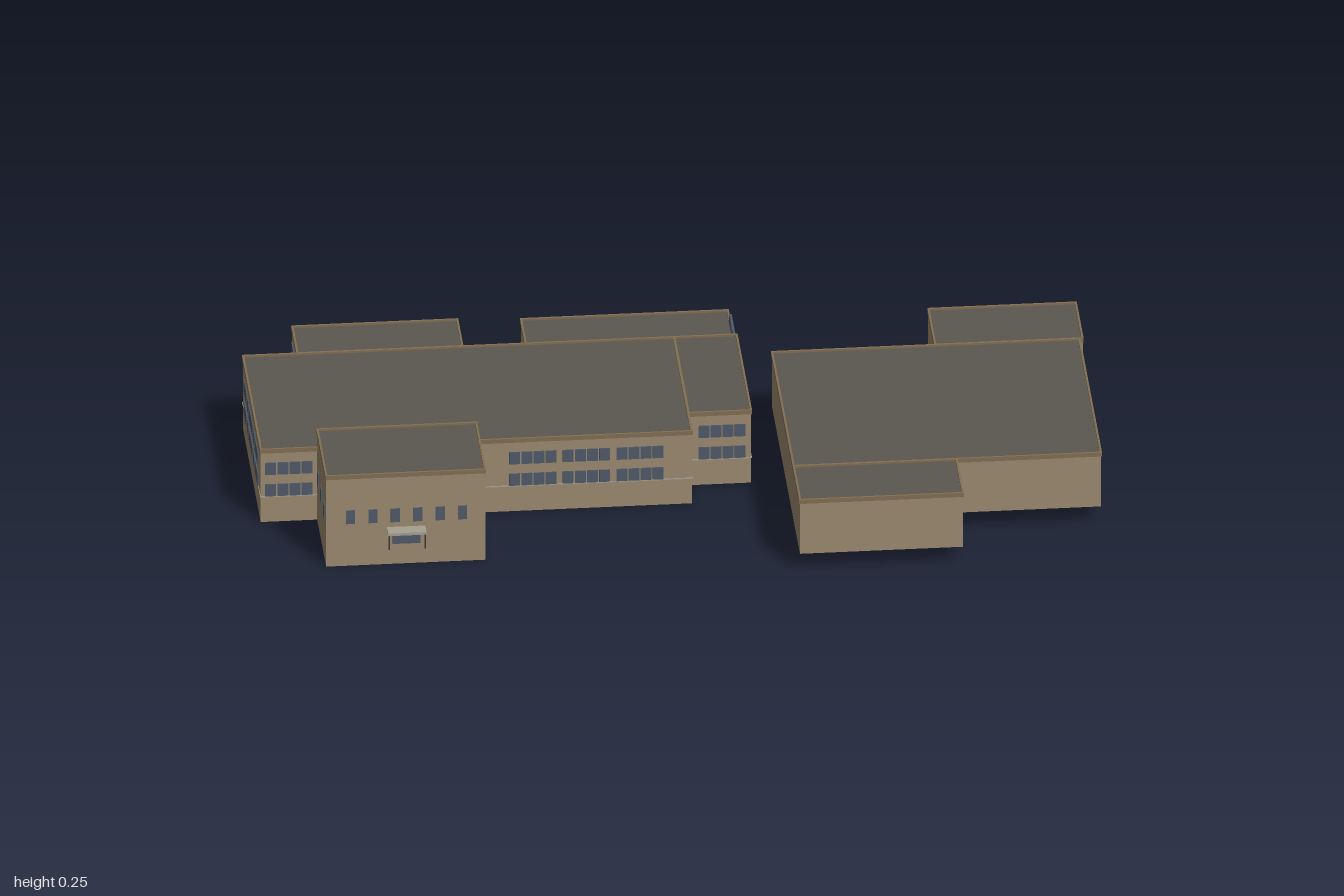
import * as THREE from 'three';

const mat = (name, color, side = THREE.FrontSide) => {
  const m = new THREE.MeshStandardMaterial({ color, side });
  m.name = name;
  return m;
};

export function createModel() {
  const model = new THREE.Group();
  model.name = 'schoolBuilding';
  const wall = mat('tanWall', 0x9b8a6e, THREE.DoubleSide);
  const roof = mat('greyRoof', 0x5a5850, THREE.DoubleSide);
  const trim = mat('brownTrim', 0x836f52);
  const glass = mat('blueGreyGlass', 0x4f5a69);
  const pale = mat('paleStone', 0xa59f90);
  const dark = mat('darkMetal', 0x35373a);

  // Box given by its limits on each axis
  const box = (parent, name, m, x0, x1, y0, y1, z0, z1) => {
    const mesh = new THREE.Mesh(new THREE.BoxGeometry(x1 - x0, y1 - y0, z1 - z0), m);
    mesh.position.set((x0 + x1) / 2, (y0 + y1) / 2, (z0 + z1) / 2);
    mesh.name = name;
    parent.add(mesh);
    return mesh;
  };

  // Open-bottomed block: four walls, sunken flat roof, slim parapet
  const block = (name, x0, x1, z0, z1, y0, y1, belt) => {
    const g = new THREE.Group();
    g.name = name;
    const shell = box(g, name + 'Walls', wall, x0, x1, y0, y1, z0, z1);
    const idx = Array.from(shell.geometry.index.array);
    shell.geometry.setIndex([...idx.slice(0, 12), ...idx.slice(24)]); // drop top and bottom
    shell.geometry.clearGroups();

    const deck = new THREE.Mesh(new THREE.PlaneGeometry(x1 - x0, z1 - z0), roof);
    deck.rotation.x = -Math.PI / 2;
    deck.position.set((x0 + x1) / 2, y1 - 0.004, (z0 + z1) / 2);
    deck.name = name + 'Roof';
    g.add(deck);

    const ring = (label, m, a, b, o, i) => {
      box(g, label, m, x0 - o, x1 + o, a, b, z0 - o, z0 + i);
      box(g, label, m, x0 - o, x1 + o, a, b, z1 - i, z1 + o);
      box(g, label, m, x0 - o, x0 + i, a, b, z0 + i, z1 - i);
      box(g, label, m, x1 - i, x1 + o, a, b, z0 + i, z1 - i);
    };
    ring(name + 'Parapet', trim, y1 - 0.01, y1 + 0.001, 0.002, 0.003);
    if (belt) ring(name + 'Belt', pale, 0.067, 0.07, 0.0015, 0.001);
    model.add(g);
  };

  // Wing on the ground
  block('mainHall', -1, 0.03, -0.305, 0.165, 0, 0.196, true);
  block('entranceBlock', -0.865, -0.485, 0.165, 0.4, 0, 0.245, false);
  block('rearWing', -0.87, -0.475, -0.44, -0.305, 0, 0.196, true);
  block('lowRearWing', -0.315, 0.18, -0.535, -0.305, 0, 0.137, true);
  block('sideWing', 0.03, 0.18, -0.305, 0.075, 0, 0.196, true);
  // Raised wing
  block('raisedHall', 0.255, 0.99, -0.21, 0.36, 0.05, 0.196, false);
  block('raisedFrontWing', 0.255, 0.645, 0.36, 0.53, 0.05, 0.196, false);
  block('raisedBackWing', 0.645, 0.998, -0.39, -0.21, 0.05, 0.196, false);

  // Thin pane on a wall: axis 'z' means the wall lies at z = at, running along x
  const T = 0.003;
  const pane = (name, axis, at, u0, u1, y0, y1) => axis === 'z'
    ? box(model, name, glass, u0, u1, y0, y1, at - T, at + T)
    : box(model, name, glass, at - T, at + T, y0, y1, u0, u1);

  const LOW = [0.07, 0.102], HIGH = [0.128, 0.16];
  const GROUP = 0.113, PITCH = 0.128, PANES = 4, GAP = 0.003;
  // Rows of banded windows, n groups centred on c
  const windows = (axis, at, c, n, rows = [LOW, HIGH]) => {
    const w = (GROUP - GAP * (PANES - 1)) / PANES;
    for (const [y0, y1] of rows)
      for (let i = 0; i < n; i++) {
        const start = c + (i - (n - 1) / 2) * PITCH - GROUP / 2;
        for (let k = 0; k < PANES; k++) {
          const u = start + k * (w + GAP);
          pane('window', axis, at, u, u + w, y0, y1);
        }
      }
  };
  windows('z', 0.165, -0.933, 1);
  windows('z', 0.165, -0.222, 3);
  windows('z', 0.075, 0.11, 1);
  windows('x', 0.18, -0.224, 4); // the upper row runs on above the low rear wing
  windows('x', -1, -0.07, 3);
  windows('z', -0.305, -0.935, 1);
  windows('z', -0.305, -0.395, 1);
  windows('z', -0.44, -0.6725, 3);
  windows('x', -0.87, -0.3725, 1);
  windows('x', -0.475, -0.3725, 1);
  windows('z', -0.535, -0.0675, 3, [LOW]);
  windows('x', -0.315, -0.42, 1, [LOW]);

  // Small square windows around the entrance block
  for (let i = 0; i < 6; i++) {
    const x = -0.807 + i * 0.0535;
    pane('entranceWindow', 'z', 0.4, x - 0.011, x + 0.011, 0.114, 0.15);
  }
  for (const x of [-0.865, -0.485])
    for (const z of [0.205, 0.2825, 0.36])
      pane('entranceSideWindow', 'x', x, z - 0.011, z + 0.011, 0.114, 0.15);

  // Door, canopy and its posts
  pane('entranceDoor', 'z', 0.4, -0.706, -0.64, 0.055, 0.092);
  box(model, 'canopy', pale, -0.72, -0.628, 0.093, 0.1, 0.4, 0.433);
  for (const x of [-0.717, -0.631])
    box(model, 'canopyPost', dark, x - 0.002, x + 0.002, 0.055, 0.093, 0.427, 0.431);

  return model;
}
